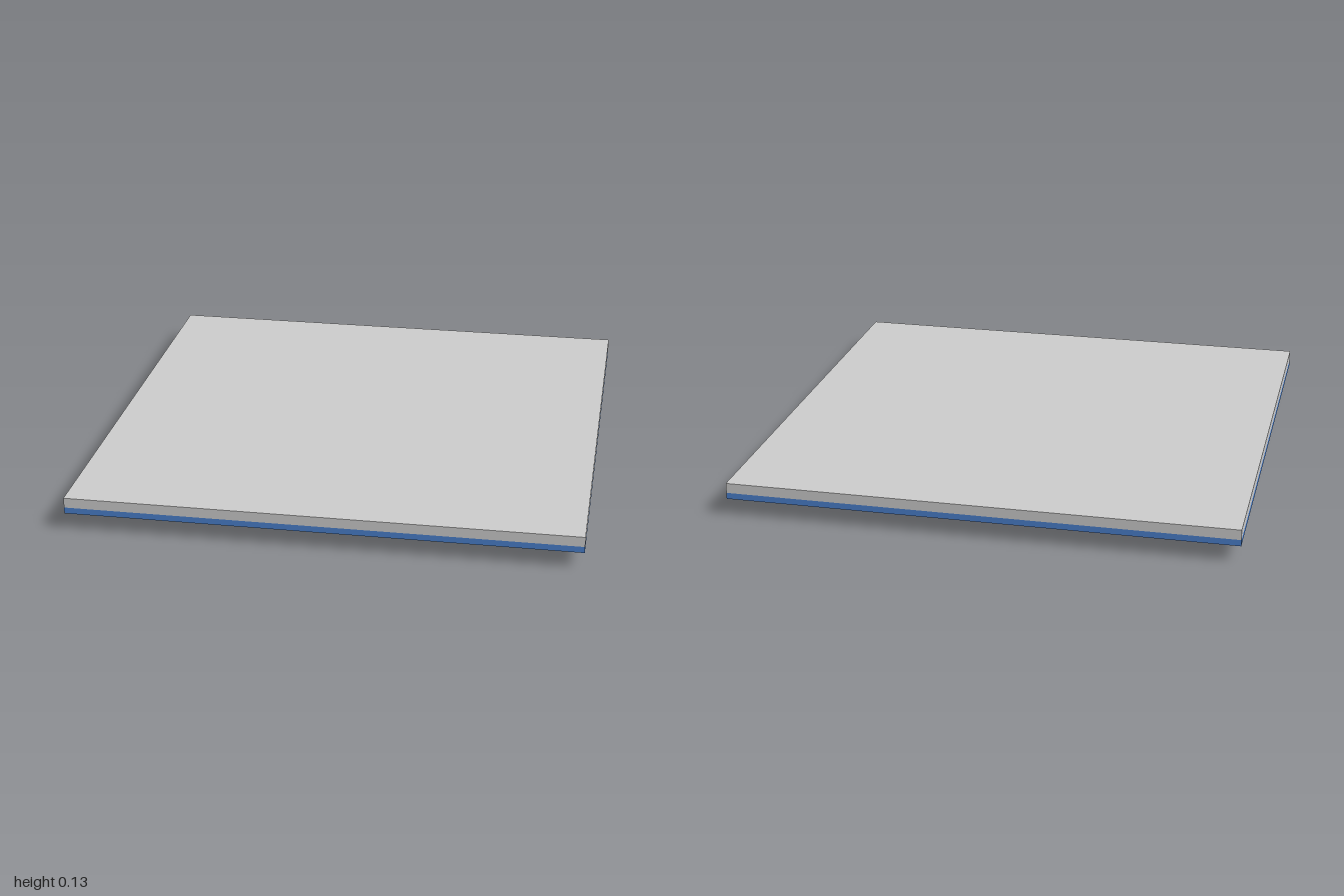
import * as THREE from 'three';

const grey = new THREE.MeshStandardMaterial({ color: 0xcccccc });
const greyFlat = new THREE.MeshStandardMaterial({ color: 0xcccccc, flatShading: true });
const blue = new THREE.MeshStandardMaterial({ color: 0x4a7fcc });

function add(parent, name, geometry, material, x = 0, y = 0, z = 0) {
  const mesh = new THREE.Mesh(geometry, material);
  mesh.name = name;
  mesh.position.set(x, y, z);
  parent.add(mesh);
  return mesh;
}

// Square outline centred on the origin
function square(PathType, half) {
  return new PathType([[-1, -1], [1, -1], [1, 1], [-1, 1]]
    .map(([x, y]) => new THREE.Vector2(x * half, y * half)));
}

export function createModel() {
  const model = new THREE.Group();
  model.name = 'ceilingPanel';

  // Flat slab on top
  const slabBottom = 0.09, slabTop = 0.13;
  add(model, 'slab', new THREE.BoxGeometry(2, slabTop - slabBottom, 2), grey,
    0, (slabBottom + slabTop) / 2, 0);

  // Coloured rim under the slab, open in the middle
  const rimBottom = 0.065;
  const rimShape = square(THREE.Shape, 1);
  rimShape.holes.push(square(THREE.Path, 0.965));
  const rim = new THREE.ExtrudeGeometry(rimShape, { depth: slabBottom - rimBottom, bevelEnabled: false });
  rim.rotateX(-Math.PI / 2);
  add(model, 'rim', rim, blue, 0, rimBottom, 0);

  // Round vent below the slab
  const vent = new THREE.Group();
  vent.name = 'vent';
  vent.position.x = -0.004;
  model.add(vent);

  // Housing: recessed ceiling, bore, bevelled ring and neck
  const recessY = 0.035, bore = 0.245;
  const profile = [
    [0, recessY], [bore, recessY], [bore, 0], [0.265, 0],
    [0.305, 0.02], [0.305, 0.043], [0.27, 0.065], [0.27, slabBottom],
  ].map(([r, y]) => new THREE.Vector2(r, y));
  add(vent, 'ventHousing', new THREE.LatheGeometry(profile, 32), greyFlat);

  // Parallel slats, each cut to the chord of the bore
  const count = 6, spacing = 0.07;
  for (let i = 0; i < count; i++) {
    const z = (i - (count - 1) / 2) * spacing;
    const length = 2 * Math.sqrt(bore * bore - z * z);
    add(vent, 'ventSlat', new THREE.BoxGeometry(length, 0.03, 0.03), grey, 0, 0.02, z);
  }

  return model;
}
